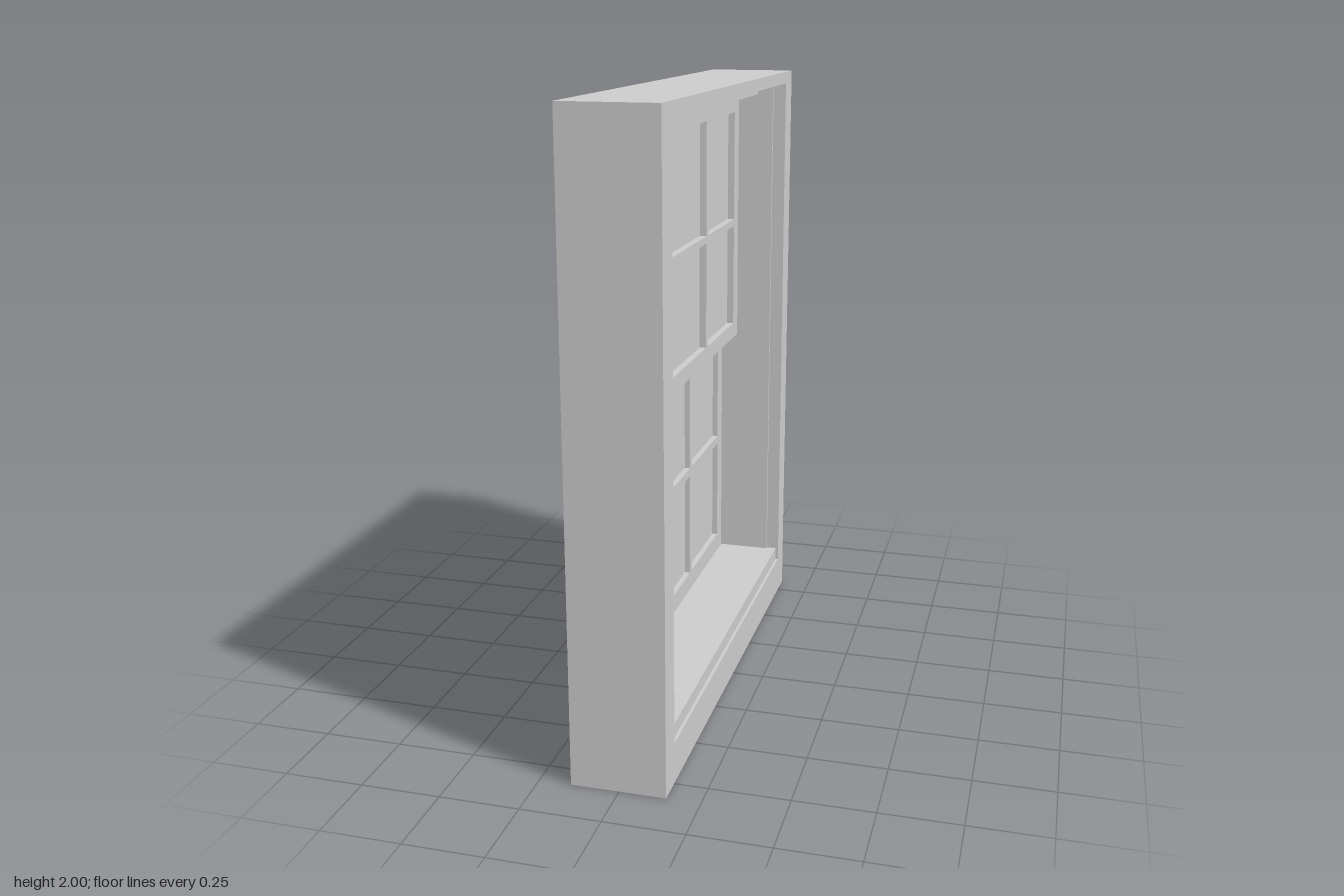
import * as THREE from 'three';

const XB = -0.15, XF = 0.145;          // open back and front plane of the frame
const mat = new THREE.MeshStandardMaterial({ color: 0xcccccc, flatShading: true, side: THREE.DoubleSide });

function addMesh(parent, geo, name) {
  const m = new THREE.Mesh(geo, mat);
  m.name = name;
  parent.add(m);
  return m;
}

// strip of quads between two equally long lists of [x, y, z] points
function strip(a, b) {
  const pos = [];
  for (let i = 0; i < a.length - 1; i++) {
    pos.push(...a[i], ...b[i], ...b[i + 1], ...a[i], ...b[i + 1], ...a[i + 1]);
  }
  const g = new THREE.BufferGeometry();
  g.setAttribute('position', new THREE.Float32BufferAttribute(pos, 3));
  g.computeVertexNormals();
  return g;
}

function rect(T, u0, u1, y0, y1) {
  const p = new T();
  p.moveTo(u0, y0);
  p.lineTo(u1, y0);
  p.lineTo(u1, y1);
  p.lineTo(u0, y1);
  p.closePath();
  return p;
}

// flat shape in the (-z, y) plane, extruded along x from x0 to x1
function extrudeX(shape, x0, x1) {
  const g = new THREE.ExtrudeGeometry(shape, { depth: x1 - x0, bevelEnabled: false });
  return g.translate(0, 0, x0).rotateY(Math.PI / 2);
}

// sash of 3 x 2 panes: pane openings cut through, thin glass in the middle
function sash(name, x0, x1, y0, y1, rows) {
  const g = new THREE.Group();
  g.name = name;
  const shape = rect(THREE.Shape, -0.735, 0.735, y0, y1);
  const cols = [[-0.67, -0.24], [-0.215, 0.27], [0.295, 0.67]];
  for (const [u0, u1] of cols) {
    for (const [b, t] of rows) shape.holes.push(rect(THREE.Path, u0, u1, b, t));
  }
  addMesh(g, extrudeX(shape, x0, x1), 'sashGrid');
  const bottom = rows[0][0], top = rows[1][1];
  const glass = addMesh(g, new THREE.BoxGeometry(0.008, top - bottom, 1.34), 'glass');
  glass.position.set((x0 + x1) / 2, (top + bottom) / 2, 0);
  return g;
}

export function createModel() {
  const root = new THREE.Group();
  root.name = 'sashWindow';

  // hollow outer casing, slightly wider at the top, open at the back
  const frame = new THREE.Group();
  frame.name = 'frame';
  root.add(frame);
  const outer = [[0, -0.835], [2, -0.845], [2, 0.845], [0, 0.835], [0, -0.835]];
  addMesh(frame, strip(outer.map(([y, z]) => [XB, y, z]), outer.map(([y, z]) => [XF, y, z])), 'casing');

  // face with the window opening
  const face = new THREE.Shape(outer.slice(0, 4).map(([y, z]) => new THREE.Vector2(-z, y)));
  face.holes.push(rect(THREE.Path, -0.745, 0.745, 0.13, 1.96));
  addMesh(frame, new THREE.ShapeGeometry(face).rotateY(Math.PI / 2).translate(XF, 0, 0), 'face');

  // stepped linings: outer level, step at x, inner level
  const lining = (step, o, i) => [[XF, o], [step, o], [step, i], [XB, i]];
  for (const s of [-1, 1]) {
    const p = lining(0.1, 0.745 * s, 0.735 * s);
    addMesh(frame, strip(p.map(([x, z]) => [x, 0.13, z]), p.map(([x, z]) => [x, 1.96, z])), s > 0 ? 'leftJamb' : 'rightJamb');
  }
  for (const [name, p] of [['sill', lining(0.135, 0.13, 0.175)], ['head', lining(0.045, 1.96, 1.92)]]) {
    addMesh(frame, strip(p.map(([x, y]) => [x, y, -0.745]), p.map(([x, y]) => [x, y, 0.745])), name);
  }

  // two overlapping sliding sashes
  root.add(sash('upperSash', -0.08, -0.025, 1.03, 1.92, [[1.085, 1.45], [1.475, 1.86]]));
  root.add(sash('lowerSash', -0.13, -0.083, 0.175, 1.085, [[0.24, 0.61], [0.64, 1.025]]));
  return root;
}
